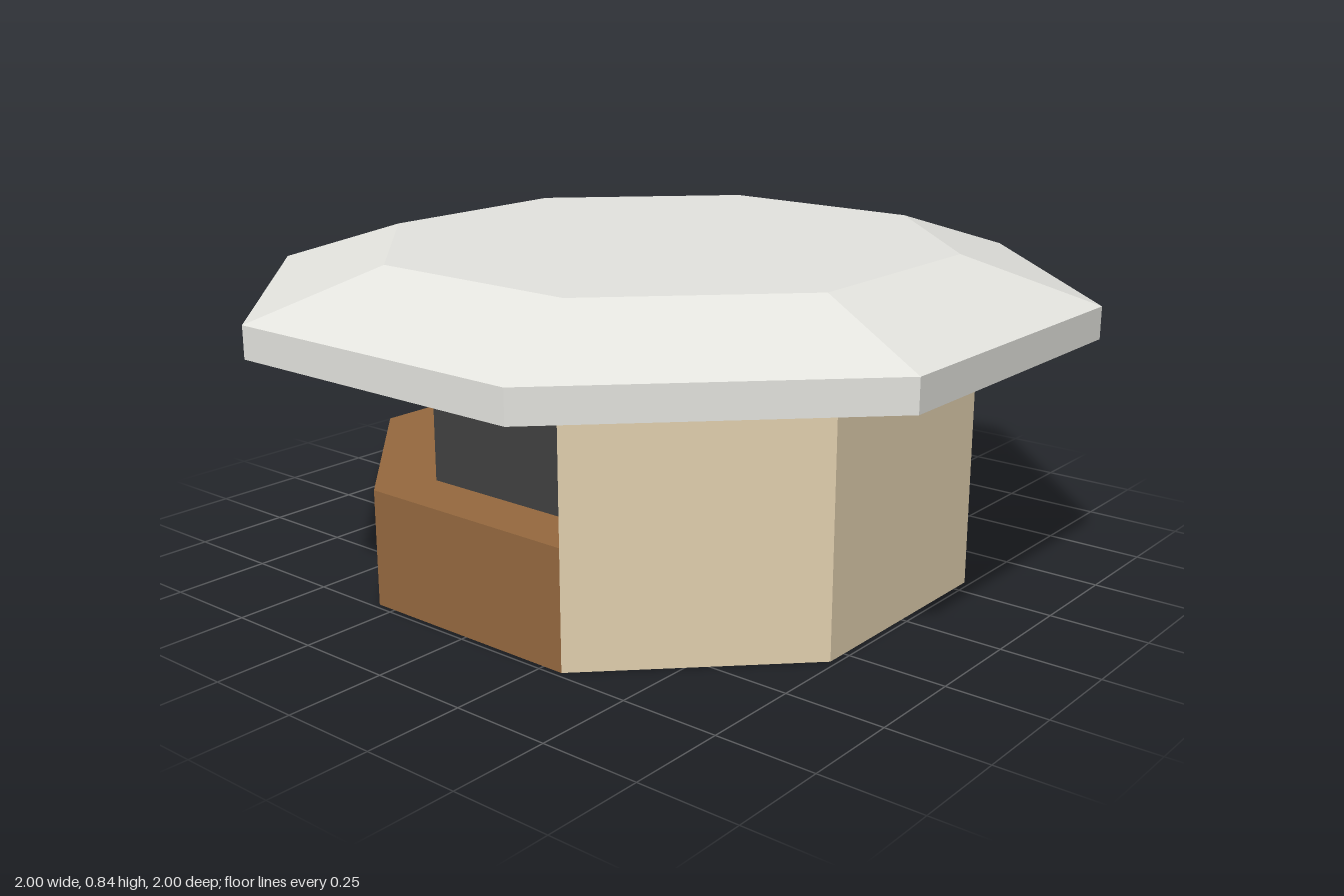
import * as THREE from 'three';

const material = (name, color) =>
  new THREE.MeshStandardMaterial({ name, color, flatShading: true, side: THREE.DoubleSide });

// Octagon sides covered, as [first corner, number of sides]
const ALL = [0.5, 8], SOLID = [0.5, 3], OPEN = [3.5, 5];

// Flat-sided octagonal band between two profile points [distance to side, height]
function band(name, lower, upper, [start, sides], mat) {
  const toCorner = 1 / Math.cos(Math.PI / 8);
  const step = Math.PI / 4;
  const geometry = new THREE.CylinderGeometry(
    upper[0] * toCorner, lower[0] * toCorner, upper[1] - lower[1],
    sides, 1, true, start * step, sides * step).toNonIndexed();
  geometry.translate(0, (upper[1] + lower[1]) / 2, 0);
  geometry.computeVertexNormals();
  const mesh = new THREE.Mesh(geometry, mat);
  mesh.name = name;
  return mesh;
}

export function createModel() {
  const roof = material('pale grey roof', 0xe5e5e0);
  const tan = material('tan wall', 0xe4d2b0);
  const wood = material('brown wood', 0x96693f);
  const dark = material('dark grey', 0x414141);

  const wall = 0.735, inner = 0.588, ceiling = 0.708, counter = 0.297;
  const model = new THREE.Group();
  model.name = 'kiosk';
  model.add(
    // Roof: flat top, slope, thin rim hanging below a recessed underside
    band('roofTop', [0.687, 0.844], [0, 0.844], ALL, roof),
    band('roofSlope', [1, 0.737], [0.687, 0.844], ALL, roof),
    band('roofRim', [1, 0.657], [1, 0.737], ALL, roof),
    band('roofUnderside', [wall, ceiling], [1, ceiling], ALL, roof),
    // Full-height wall on three sides
    band('solidWall', [wall, 0], [wall, ceiling], SOLID, tan),
    // Serving sides: recessed window band over a counter
    band('windowSoffit', [inner, ceiling], [wall, ceiling], OPEN, dark),
    band('windowBand', [inner, counter], [inner, ceiling], OPEN, dark),
    band('counterTop', [wall, counter], [inner, counter], OPEN, wood),
    band('counterFront', [wall, 0], [wall, counter], OPEN, wood),
  );
  return model;
}
